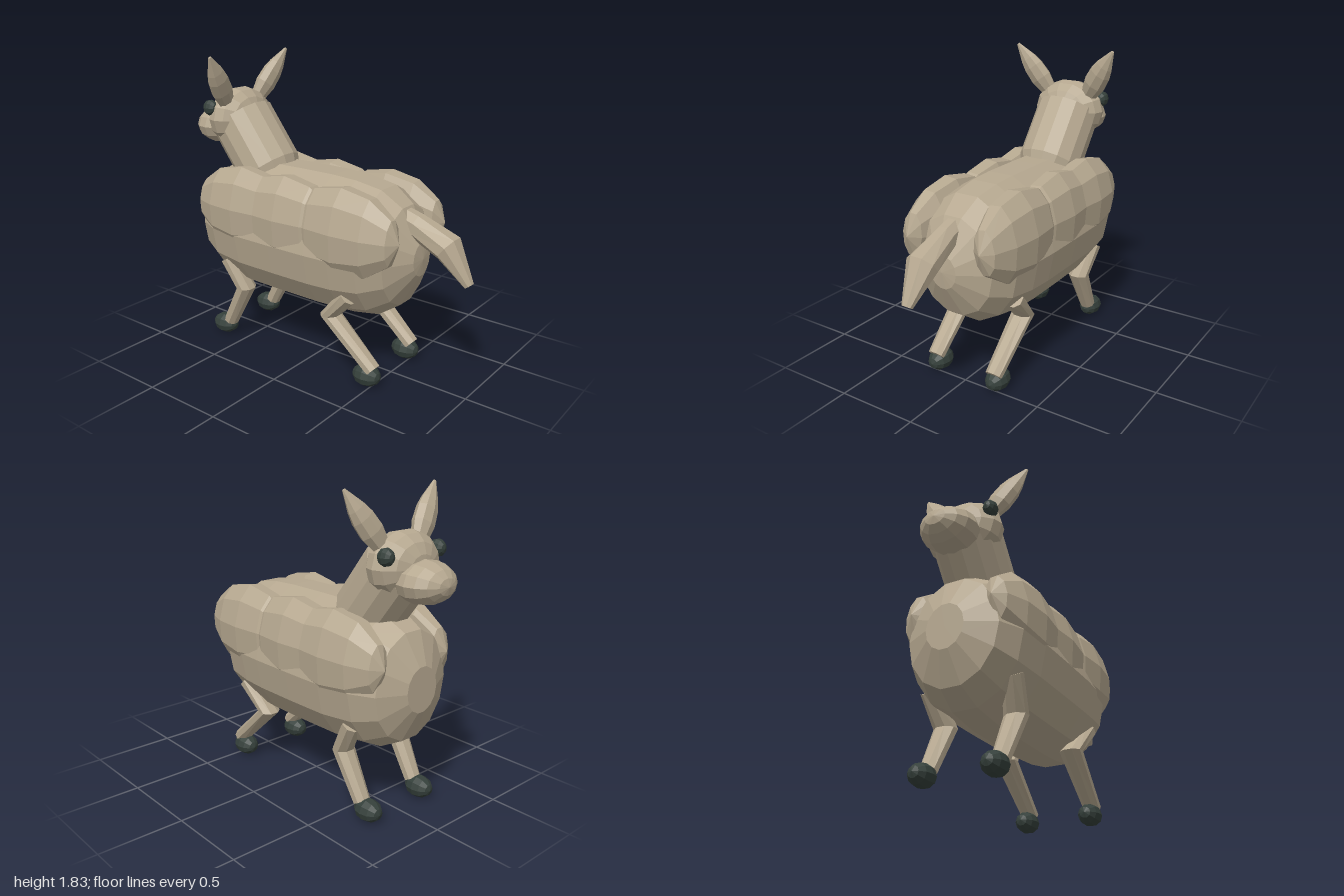
import * as THREE from 'three';

const coat = new THREE.MeshStandardMaterial({ name: 'tan coat', color: 0xb6a890, flatShading: true });
const dark = new THREE.MeshStandardMaterial({ name: 'dark hoof', color: 0x35403b, flatShading: true });

export function createModel() {
  const model = new THREE.Group();
  model.name = 'animal';

  function add(name, geometry, material = coat) {
    const mesh = new THREE.Mesh(geometry, material);
    mesh.name = name;
    model.add(mesh);
    return mesh;
  }

  // Ellipsoid with its poles along z
  function ellipsoid(name, pos, radii, material = coat, w = 12, h = 8, tilt = 0) {
    const g = new THREE.SphereGeometry(1, w, h).rotateX(Math.PI / 2);
    g.scale(...radii).rotateZ(tilt).translate(...pos);
    return add(name, g, material);
  }

  const lathe = (points, sides, phase = 0) =>
    new THREE.LatheGeometry(points.map(p => new THREE.Vector2(...p)), sides, phase);

  // Turned shape standing on `from` and pointing at `to`
  function aim(mesh, from, to) {
    const a = new THREE.Vector3(...from);
    const dir = new THREE.Vector3(...to).sub(a).normalize();
    mesh.position.copy(a);
    mesh.quaternion.setFromUnitVectors(new THREE.Vector3(0, 1, 0), dir);
  }

  // Bent limb through rings [x, y, z, radius across, radius in the side plane]
  function limb(name, rings, sides = 8) {
    const pts = rings.map(r => new THREE.Vector3(r[0], r[1], r[2]));
    const pos = [], index = [], last = rings.length - 1;
    const side = new THREE.Vector3(1, 0, 0);
    rings.forEach((r, i) => {
      const t = new THREE.Vector3();
      if (i > 0) t.add(pts[i].clone().sub(pts[i - 1]).normalize());
      if (i < last) t.add(pts[i + 1].clone().sub(pts[i]).normalize());
      const n = t.cross(side).normalize();
      for (let j = 0; j < sides; j++) {
        const a = (j + 0.5) / sides * Math.PI * 2;
        const p = pts[i].clone().addScaledVector(side, Math.cos(a) * r[3]).addScaledVector(n, Math.sin(a) * r[4]);
        pos.push(p.x, p.y, p.z);
      }
    });
    const start = pos.length / 3;
    pos.push(...pts[0].toArray(), ...pts[last].toArray());
    for (let j = 0; j < sides; j++) {
      const k = (j + 1) % sides;
      for (let i = 0; i < last; i++) {
        const a = i * sides + j, b = i * sides + k, c = a + sides, d = b + sides;
        index.push(a, b, c, b, d, c);
      }
      index.push(start, k, j, start + 1, last * sides + j, last * sides + k);
    }
    const g = new THREE.BufferGeometry();
    g.setAttribute('position', new THREE.Float32BufferAttribute(pos, 3));
    g.setIndex(index);
    g.computeVertexNormals();
    return add(name, g);
  }

  // Barrel body, chest towards -z
  const body = lathe([
    [0, -0.85], [0.31, -0.85], [0.74, -0.77], [0.92, -0.63], [0.99, -0.42], [1, -0.15],
    [1, 0.12], [0.98, 0.28], [0.91, 0.45], [0.7, 0.58], [0.24, 0.68], [0, 0.69],
  ], 14, Math.PI / 14);
  body.rotateX(Math.PI / 2).scale(0.37, 0.425, 1).translate(0, 0.775, 0);
  add('body', body);

  // Neck, rounded at the base and flat at the top
  const neck = add('neck', lathe([
    [0, -0.15], [0.1, -0.13], [0.17, -0.07], [0.2, 0], [0.2, 0.375], [0, 0.375],
  ], 14, Math.PI / 14));
  aim(neck, [0, 1.12, -0.44], [0, 1.42, -0.67]);

  // Head and muzzle
  ellipsoid('head', [0, 1.43, -0.685], [0.235, 0.185, 0.15], coat, 14, 8);
  ellipsoid('muzzle', [0, 1.36, -0.84], [0.168, 0.118, 0.16]);

  // Tail
  limb('tail', [
    [0, 1.0, 0.52, 0.062, 0.075], [0, 0.965, 0.64, 0.068, 0.075],
    [0, 0.88, 0.845, 0.097, 0.082], [0, 0.69, 0.98, 0.033, 0.027],
  ]);

  for (const s of [1, -1]) {
    const label = s > 0 ? 'left' : 'right';

    // Bulging flank: three overlapping lumps
    [['haunch', 0.31], ['flank', -0.1], ['shoulder', -0.435]].forEach(([name, z]) =>
      ellipsoid(label + ' ' + name, [s * 0.245, 0.925, z], [0.138, 0.268, 0.373], coat, 10, 6, s * 0.1));

    // Eye
    ellipsoid(label + ' eye', [s * 0.197, 1.5, -0.748], [0.042, 0.05, 0.05], dark, 10, 6);

    // Leaf-shaped ear
    const ear = lathe([[0, 0], [0.05, 0], [0.074, 0.11], [0.07, 0.2], [0.055, 0.26], [0.01, 0.375], [0, 0.375]], 8);
    ear.scale(1, 1, 0.75);
    aim(add(label + ' ear', ear), [s * 0.135, 1.525, -0.665], [s * 0.34, 1.83, -0.587]);

    // Bent legs with rounded feet
    limb(label + ' hind leg', [
      [s * 0.25, 0.55, 0.36, 0.06, 0.055], [s * 0.215, 0.385, 0.205, 0.07, 0.062], [s * 0.21, 0.11, 0.51, 0.052, 0.045],
    ]);
    limb(label + ' front leg', [
      [s * 0.25, 0.56, -0.58, 0.06, 0.055], [s * 0.215, 0.375, -0.475, 0.07, 0.058], [s * 0.21, 0.1, -0.625, 0.052, 0.045],
    ]);
    for (const [name, z] of [['hind', 0.465], ['front', -0.675]]) {
      ellipsoid(label + ' ' + name + ' foot', [s * 0.21, 0.066, z], [0.069, 0.066, 0.09], dark, 10, 6);
    }
  }
  return model;
}
